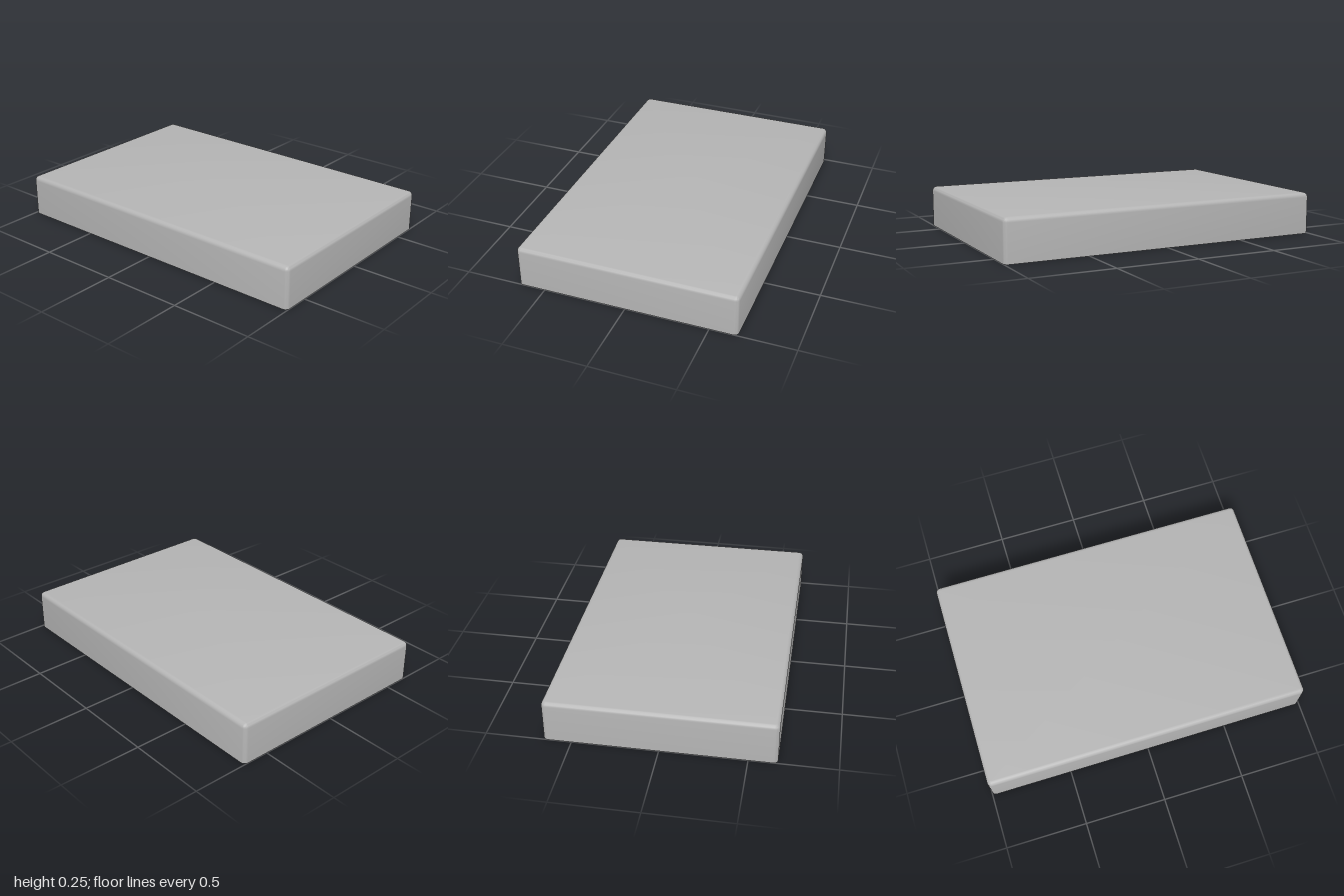
import * as THREE from 'three';
import { toCreasedNormals } from 'three/addons/utils/BufferGeometryUtils.js';

const HALF_X = 0.665, HALF_Z = 1, HEIGHT = 0.255;
const WALL = 0.04, ROUND = 0.028, CEILING = 0.2, POCKET = 0.04;
const ARC = 6; // segments per rounded corner

// Rounded rectangle as [x, z] points, inset from the outer footprint
function outline(inset, radius) {
  const pts = [];
  const cx = HALF_X - inset - radius, cz = HALF_Z - inset - radius;
  [[1, 1], [-1, 1], [-1, -1], [1, -1]].forEach(([sx, sz], q) => {
    for (let i = 0; i <= ARC; i++) {
      const a = (q + i / ARC) * Math.PI / 2;
      pts.push([sx * cx + radius * Math.cos(a), sz * cz + radius * Math.sin(a)]);
    }
  });
  return pts;
}

// Joins rings from the inner ceiling edge, round the rim, up to the top
function shellGeometry() {
  const rings = [
    [WALL, CEILING, 0.02], [WALL, 0, 0.02], [0, 0, ROUND],
  ];
  for (let i = 0; i <= ARC; i++) {
    const a = i / ARC * Math.PI / 2;
    const inset = ROUND * (1 - Math.cos(a));
    rings.push([inset, HEIGHT - ROUND + ROUND * Math.sin(a), Math.max(ROUND - inset, 0.0005)]);
  }
  const pos = [], index = [], n = 4 * (ARC + 1);
  for (const [inset, y, r] of rings) for (const [x, z] of outline(inset, r)) pos.push(x, y, z);
  for (let j = 0; j < rings.length - 1; j++) {
    for (let i = 0; i < n; i++) {
      const a = j * n + i, b = j * n + (i + 1) % n;
      index.push(a, a + n, b, b, a + n, b + n);
    }
  }
  // flat top
  const last = (rings.length - 1) * n, centre = pos.length / 3;
  pos.push(0, HEIGHT, 0);
  for (let i = 0; i < n; i++) index.push(last + i, centre, last + (i + 1) % n);
  const g = new THREE.BufferGeometry();
  g.setAttribute('position', new THREE.Float32BufferAttribute(pos, 3));
  g.setIndex(index);
  return toCreasedNormals(g, 0.6);
}

// Keeps the part of a polygon where sign * p[axis] <= limit
function clip(poly, axis, sign, limit) {
  const out = [];
  poly.forEach((p, i) => {
    const q = poly[(i + 1) % poly.length];
    const dp = limit - sign * p[axis], dq = limit - sign * q[axis];
    if (dp >= 0) out.push(p);
    if (dp * dq < 0) {
      const t = dp / (dp - dq);
      out.push([p[0] + (q[0] - p[0]) * t, p[1] + (q[1] - p[1]) * t]);
    }
  });
  return out;
}

// Staggered hexagonal pockets, cut off at the edge of their field
function hexHoles() {
  const pitch = 0.19, radius = 0.074, fieldX = 0.445, fieldZ = 0.775;
  const holes = [];
  for (let row = -5; row <= 5; row++) {
    for (let col = -3; col <= 3; col++) {
      const cx = (col + (row % 2 ? 0.5 : 0)) * pitch, cz = row * pitch * 0.866;
      let poly = [];
      for (let i = 0; i < 6; i++) {
        const a = (i + 0.5) * Math.PI / 3;
        poly.push([cx + radius * Math.cos(a), cz + radius * Math.sin(a)]);
      }
      for (const s of [1, -1]) poly = clip(clip(poly, 0, s, fieldX), 1, s, fieldZ);
      if (poly.length > 2) holes.push(poly);
    }
  }
  return holes;
}

const toVectors = pts => pts.map(([x, z]) => new THREE.Vector2(x, z));

export function createModel() {
  const model = new THREE.Group();
  model.name = 'lid';
  const grey = new THREE.MeshStandardMaterial({ color: 0xb4b4b4 });
  grey.name = 'grey';
  const add = (name, geometry) => {
    const mesh = new THREE.Mesh(geometry, grey);
    mesh.name = name;
    model.add(mesh);
    return mesh;
  };

  add('outerShell', shellGeometry());

  // inner ceiling with honeycomb pockets
  const inner = toVectors(outline(WALL, 0.02));
  const plate = new THREE.Shape(inner);
  plate.holes = hexHoles().map(p => new THREE.Path(toVectors(p)));
  const ceiling = add('honeycombCeiling',
    new THREE.ExtrudeGeometry(plate, { depth: POCKET, bevelEnabled: false }));
  ceiling.rotation.x = Math.PI / 2;
  ceiling.position.y = CEILING + POCKET;

  // closed ends of the pockets, facing down
  const ends = add('pocketEnds', new THREE.ShapeGeometry(new THREE.Shape(inner)));
  ends.rotation.x = Math.PI / 2;
  ends.position.y = CEILING + POCKET - 0.001;

  // snap bumps on the long inner walls
  for (const side of [1, -1]) {
    for (const z of [-0.5, 0.5]) {
      const bump = add('snapBump', new THREE.SphereGeometry(0.026, 20, 14));
      bump.position.set(side * (HALF_X - WALL), 0.08, z);
    }
  }
  return model;
}
